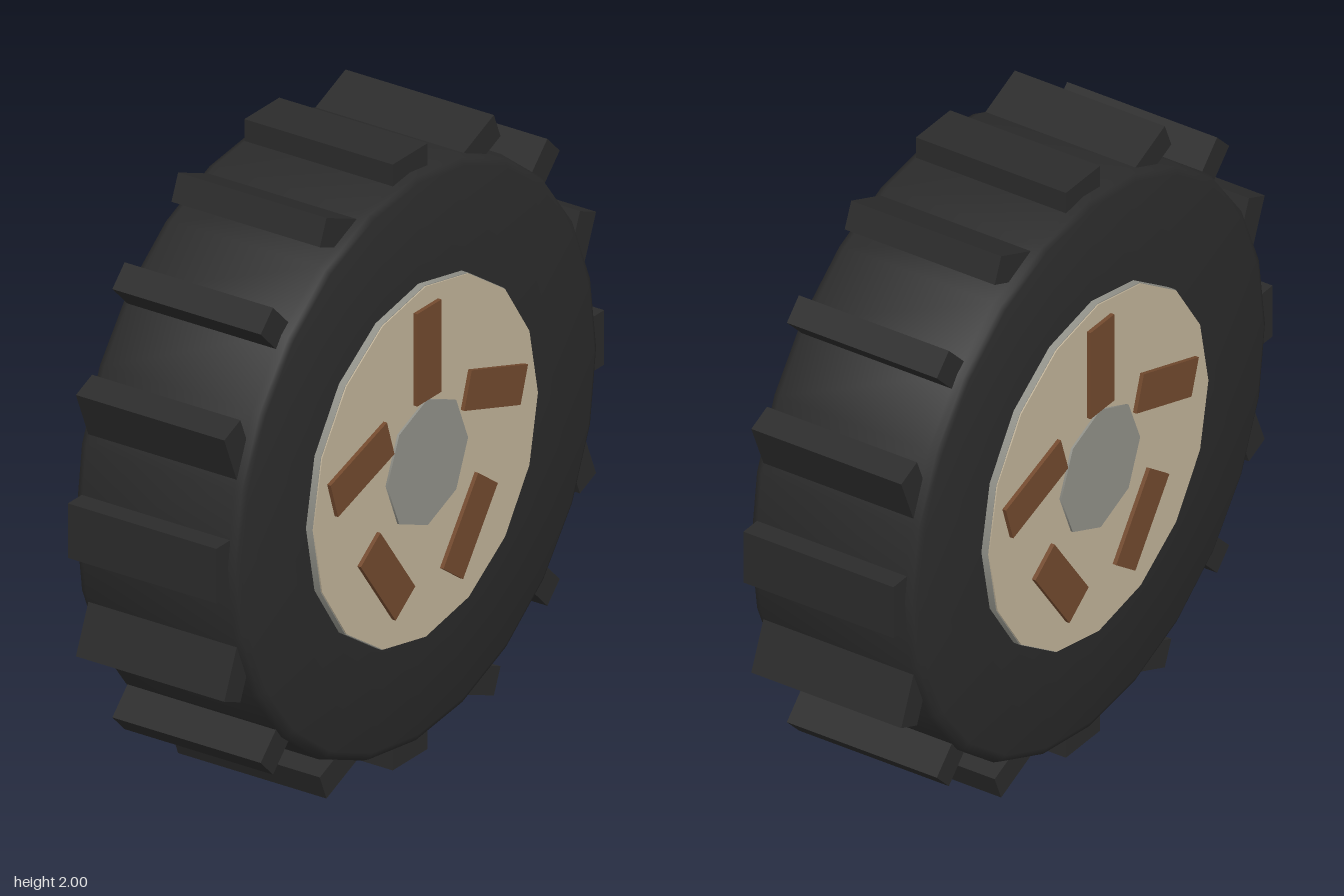
import * as THREE from 'three';
import { toCreasedNormals } from 'three/addons/utils/BufferGeometryUtils.js';

const material = (name, color) => {
  const m = new THREE.MeshStandardMaterial({ color });
  m.name = name;
  return m;
};

export function createModel() {
  const rubber = material('black rubber', 0x2b2b2b);
  const tan = material('tan rim', 0xc2b49a);
  const wood = material('brown spokes', 0x734a2e);
  const metal = material('grey metal', 0x92928a);

  const model = new THREE.Group();
  model.name = 'wheel';
  const axle = new THREE.Group();
  axle.name = 'wheelAssembly';
  axle.position.y = 1;
  model.add(axle);

  const add = (name, geometry, mat) => {
    const mesh = new THREE.Mesh(geometry, mat);
    mesh.name = name;
    axle.add(mesh);
    return mesh;
  };

  // Disc centred on the axle, running along z, with a corner at the top
  const disc = (name, radius, halfWidth, sides, mat) =>
    add(name, new THREE.CylinderGeometry(radius, radius, halfWidth * 2, sides).rotateX(Math.PI / 2), mat);

  // Places blocks evenly around the wheel, each turned against its placement angle
  const ring = (name, count, radius, size, mat) => {
    const geometry = new THREE.BoxGeometry(...size);
    for (let i = 0; i < count; i++) {
      const a = (i / count) * Math.PI * 2;
      const block = add(name, geometry, mat);
      block.position.set(Math.sin(a) * radius, Math.cos(a) * radius, 0);
      block.rotation.z = a;
    }
  };

  // Tyre with bevelled shoulders
  const profile = [[0.5, -0.3], [0.908, -0.3], [0.93, -0.29], [0.94, -0.268],
    [0.94, 0.268], [0.93, 0.29], [0.908, 0.3], [0.5, 0.3]]
    .map(([r, z]) => new THREE.Vector2(r, z));
  const tyre = toCreasedNormals(new THREE.LatheGeometry(profile, 24), 0.75).rotateX(Math.PI / 2);
  add('tyre', tyre, rubber);

  // Tread lugs
  ring('treadLug', 16, 0.955, [0.18, 0.09, 0.54], rubber);

  // Rim barrel, rim faces and hub, passing through to both sides
  disc('rimBarrel', 0.58, 0.323, 16, metal);
  disc('rimFace', 0.578, 0.327, 16, tan);
  disc('hub', 0.208, 0.334, 8, metal);

  // Spokes
  ring('spoke', 5, 0.362, [0.125, 0.305, 0.68], wood);

  return model;
}
